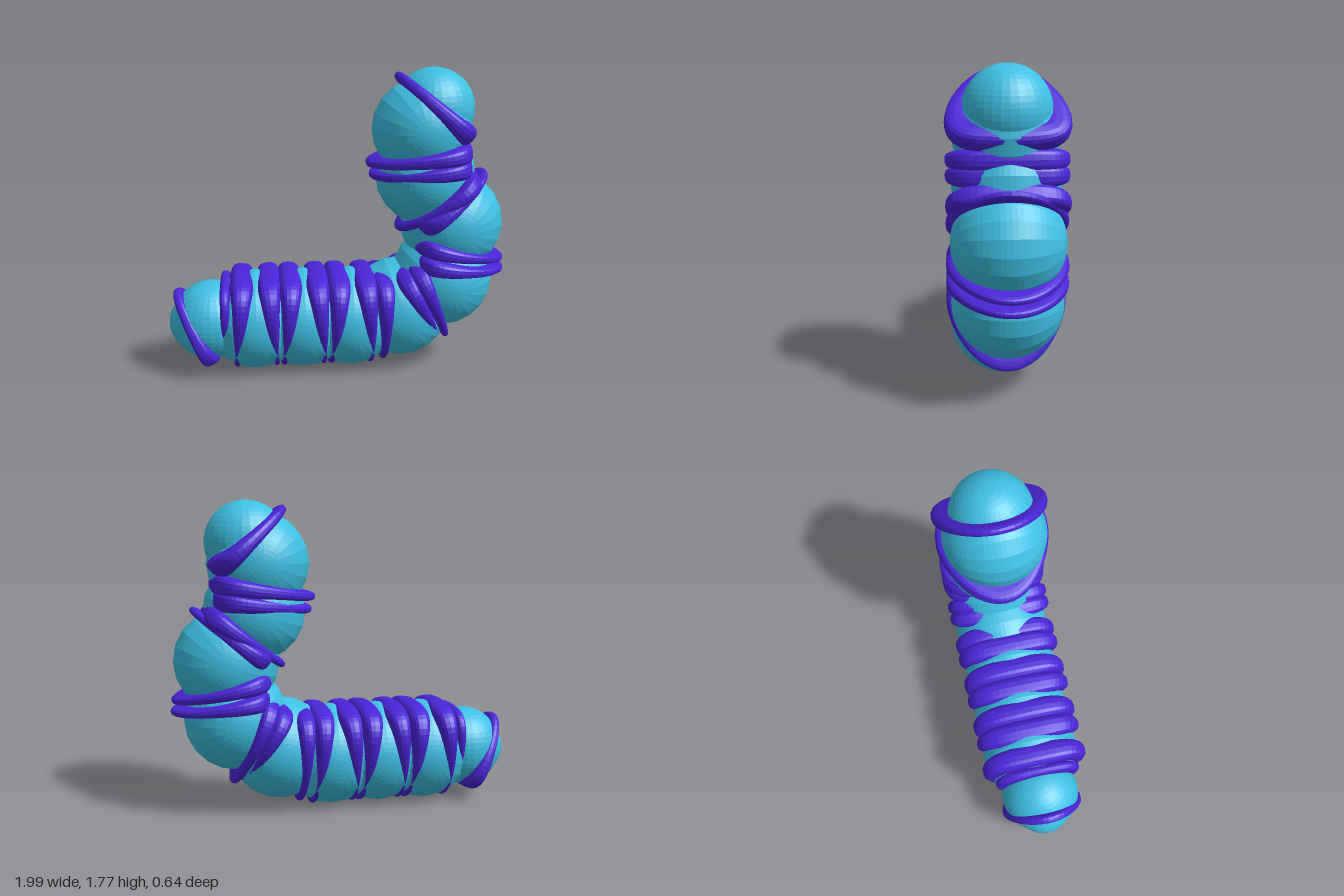
import * as THREE from 'three';

const teal = new THREE.MeshStandardMaterial({ color: 0x3ec0e2, flatShading: true });
const purple = new THREE.MeshStandardMaterial({ color: 0x4a24d8, flatShading: true });

// Ball of the body; fine = evenly gridded, otherwise coarse bands running across z
function ball(name, x, y, r, fine) {
  const geo = fine ? new THREE.SphereGeometry(r, 32, 24) : new THREE.SphereGeometry(r, 20, 32);
  if (!fine) geo.rotateX(Math.PI / 2);
  const mesh = new THREE.Mesh(geo, teal);
  mesh.name = name;
  mesh.position.set(x, y, 0);
  return mesh;
}

const soften = (v) => Math.sign(v) * Math.abs(v) ** 0.7;

// Egg-shaped band in the xy plane from its thick end A (width wa) to its thin end B (width wb);
// it is broadest in z nearer to the thick end
function band(name, ax, ay, wa, bx, by, wb, halfZ = 0.322, t = 0.09) {
  const geo = new THREE.TorusGeometry(1, 0.5, 20, 48);
  const p = geo.attributes.position;
  const half = Math.hypot(bx - ax, by - ay) / 2;
  for (let i = 0; i < p.count; i++) {
    const x = p.getX(i), y = p.getY(i), d = Math.hypot(x, y);
    const c = x / d, s = y / d;
    const out = t * (soften((d - 1) / 0.5) - 1);
    const width = (wa + wb) / 2 + c * (wb - wa) / 2;
    p.setXYZ(i, c * (half + out) - 0.38 * half * s * s, s * (halfZ + out), soften(p.getZ(i) * 2) * width / 2);
  }
  const u = new THREE.Vector3(bx - ax, by - ay, 0).normalize();
  const v = new THREE.Vector3(0, 0, 1);
  geo.applyMatrix4(new THREE.Matrix4().makeBasis(u, v, u.clone().cross(v)));
  geo.computeVertexNormals();
  const mesh = new THREE.Mesh(geo, purple);
  mesh.name = name;
  mesh.position.set((ax + bx) / 2, (ay + by) / 2, 0);
  return mesh;
}

export function createModel() {
  const model = new THREE.Group();
  model.name = 'segmentedWorm';

  // Tail tip, tail and head
  model.add(ball('tailTip', -0.83, 0.29, 0.17, true));
  model.add(ball('tail', -0.75, 0.3, 0.235, true));
  model.add(ball('head', 0.55, 1.535, 0.235, true));

  // Straight body on the ground
  for (const x of [-0.49, -0.21, 0.07]) model.add(ball('bodySegment', x, 0.298, 0.294, false));

  // Raised, winding body
  for (const [x, y, r] of [
    [0.37, 0.35, 0.295], [0.62, 0.535, 0.297], [0.67, 0.87, 0.3],
    [0.51, 1.15, 0.29], [0.485, 1.42, 0.29],
  ]) model.add(ball('neckSegment', x, y, r, false));

  // Bands at the tail
  model.add(band('tailBand', -0.735, 0.06, 0.11, -0.955, 0.49, 0.06, 0.25, 0.06));
  model.add(band('tailBand', -0.665, 0.565, 0.06, -0.67, 0.08, 0.05, 0.26, 0.06));

  // Pairs of bands, wide above and narrow below, on each straight segment
  for (const x of [-0.49, -0.21, 0.07]) {
    for (const side of [-1, 1]) {
      model.add(band('bodyBand', x + side * 0.073, 0.6, 0.145, x + side * 0.12, 0.006, 0.045));
    }
  }

  // Bands of the bends, each from its thick edge to its thin edge
  for (const b of [
    [0.25, 0.595, 0.13, 0.265, 0.025, 0.05],
    [0.345, 0.62, 0.13, 0.605, 0.17, 0.05],
    [0.425, 0.67, 0.13, 0.655, 0.155, 0.05],
    [0.43, 0.78, 0.13, 0.985, 0.65, 0.05],
    [0.43, 0.67, 0.13, 0.99, 0.585, 0.05],
    [0.8, 1.165, 0.13, 0.34, 0.83, 0.05],
    [0.44, 0.85, 0.13, 0.87, 1.17, 0.05],
    [0.76, 1.225, 0.13, 0.18, 1.155, 0.06],
    [0.76, 1.31, 0.13, 0.16, 1.225, 0.06],
    [0.75, 1.365, 0.14, 0.33, 1.735, 0.06],
  ]) model.add(band('neckBand', ...b));

  return model;
}
